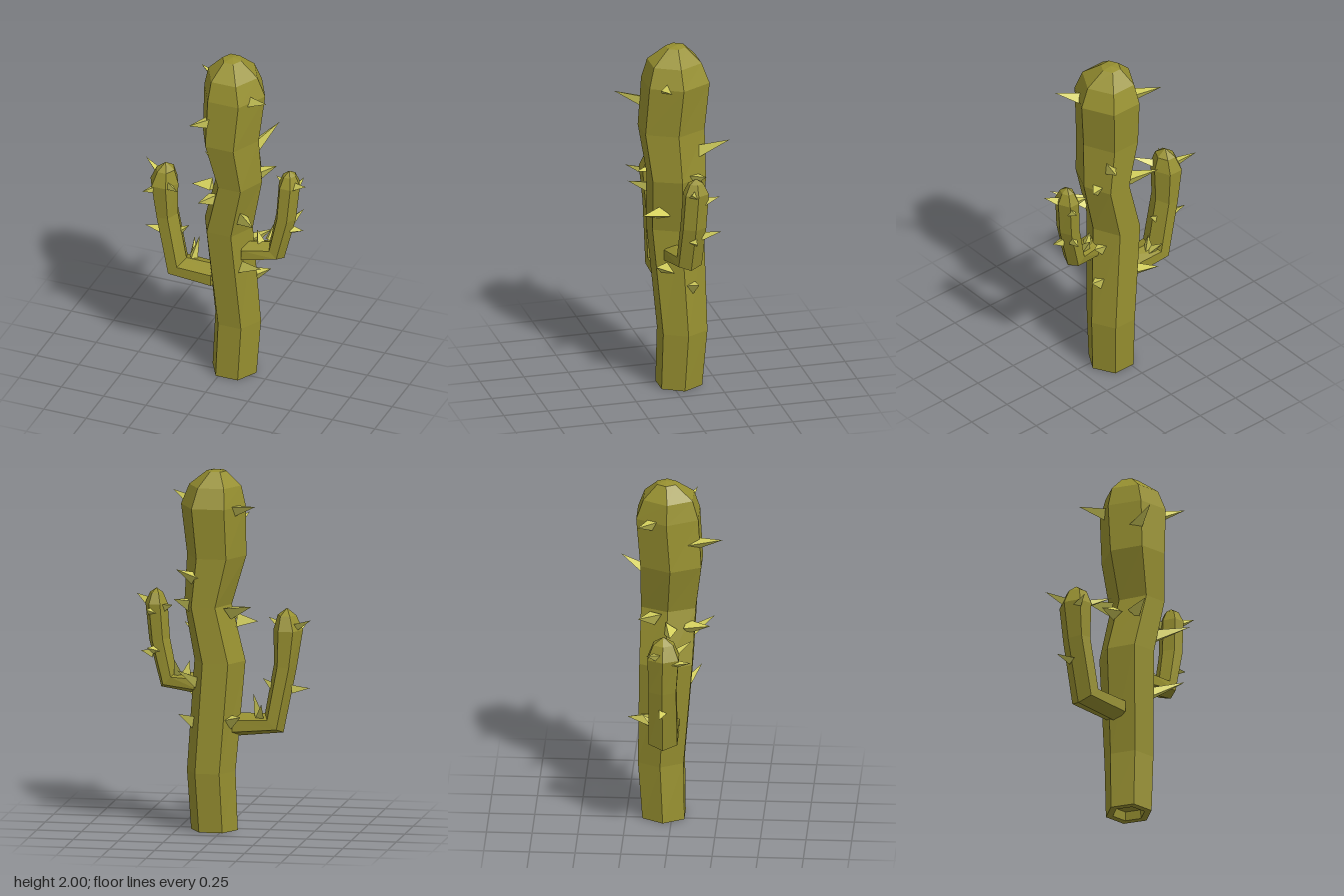
import * as THREE from 'three';

const flesh = new THREE.MeshStandardMaterial({ color: 0x979030, flatShading: true });
flesh.name = 'olive flesh';
const thorn = new THREE.MeshStandardMaterial({ color: 0xd6d25e, flatShading: true });
thorn.name = 'pale yellow spine';

// Hexagonal loft. Ring: [x, y, z, width radius, depth radius, heading in degrees (90 is up)]
function hexLoft(name, rings) {
  const rows = rings.map(([x, y, z, ru, rz, heading = 90]) => {
    const a = THREE.MathUtils.degToRad(heading);
    return Array.from({ length: 6 }, (_, i) => {
      const t = i * Math.PI / 3;
      const u = Math.cos(t) * ru;
      const v = Math.sin(t) / Math.sin(Math.PI / 3) * rz;
      return [x + Math.sin(a) * u, y - Math.cos(a) * u, z + v];
    });
  });
  const pos = [];
  for (let r = 0; r < rows.length - 1; r++) {
    for (let i = 0; i < 6; i++) {
      const j = (i + 1) % 6;
      const a = rows[r][i], b = rows[r][j], c = rows[r + 1][i], d = rows[r + 1][j];
      if (rings[r][3] > 0) pos.push(...a, ...c, ...b);
      if (rings[r + 1][3] > 0) pos.push(...b, ...c, ...d);
    }
  }
  const geo = new THREE.BufferGeometry();
  geo.setAttribute('position', new THREE.Float32BufferAttribute(pos, 3));
  geo.computeVertexNormals();
  const mesh = new THREE.Mesh(geo, flesh);
  mesh.name = name;
  return mesh;
}

// Three-sided spine running from near the limb axis out to its tip
function spine(tip, axis, depth, radius) {
  const end = new THREE.Vector3(...tip);
  const core = new THREE.Vector3(...axis);
  const dir = end.clone().sub(core).normalize();
  const base = core.addScaledVector(dir, depth);
  const length = base.distanceTo(end);
  const mesh = new THREE.Mesh(new THREE.ConeGeometry(radius, length, 3), thorn);
  mesh.position.copy(base).lerp(end, 0.5);
  mesh.quaternion.setFromUnitVectors(new THREE.Vector3(0, 1, 0), dir);
  mesh.name = 'spine';
  return mesh;
}

export function createModel() {
  const cactus = new THREE.Group();
  cactus.name = 'cactus';

  // Trunk with a recessed underside and a domed top
  cactus.add(hexLoft('trunk', [
    [0.05, 0.05, -0.045, 0, 0],
    [0.05, 0.05, -0.045, 0.085, 0.075],
    [0.05, 0, -0.045, 0.09, 0.08],
    [0.05, 0, -0.045, 0.13, 0.115],
    [0.065, 0.33, -0.06, 0.135, 0.125],
    [0.022, 0.94, -0.03, 0.142, 0.145],
    [0.09, 1.25, -0.02, 0.132, 0.15],
    [0.045, 1.52, -0.003, 0.165, 0.167],
    [0.06, 1.8, -0.023, 0.18, 0.17],
    [0.05, 1.91, -0.02, 0.145, 0.135],
    [0.04, 1.99, -0.03, 0.055, 0.05],
    [0.045, 2, -0.035, 0, 0],
  ]));

  // Low arm on the right side
  cactus.add(hexLoft('rightArm', [
    [-0.055, 0.585, -0.03, 0, 0, 180],
    [-0.055, 0.585, -0.03, 0.065, 0.075, 180],
    [-0.28, 0.6, -0.03, 0.073, 0.078, 135],
    [-0.342, 0.92, -0.03, 0.064, 0.075, 95],
    [-0.357, 1.12, -0.025, 0.082, 0.085],
    [-0.35, 1.2, -0.025, 0.052, 0.055],
    [-0.35, 1.24, -0.025, 0, 0],
  ]));

  // Higher, slimmer arm on the left side
  cactus.add(hexLoft('leftArm', [
    [0.13, 0.8, 0, 0, 0, 0],
    [0.13, 0.8, 0, 0.06, 0.06, 0],
    [0.305, 0.825, -0.035, 0.06, 0.065, 45],
    [0.355, 1.05, -0.045, 0.058, 0.065, 82],
    [0.37, 1.25, -0.055, 0.062, 0.065],
    [0.37, 1.31, -0.055, 0.036, 0.038],
    [0.37, 1.335, -0.055, 0, 0],
  ]));

  // Spines: tip followed by the point on the limb axis it grows from
  const trunkSpines = [
    [[-0.2, 1.82, -0.175], [0.05, 1.76, -0.03]],
    [[0.31, 1.85, 0.125], [0.06, 1.74, -0.01]],
    [[-0.085, 1.71, 0.285], [0.01, 1.62, 0]],
    [[0.215, 1.48, -0.29], [0.08, 1.35, -0.02]],
    [[-0.18, 1.265, -0.175], [0.05, 1.19, -0.03]],
    [[-0.185, 1.155, 0], [0.04, 1.17, -0.02]],
    [[-0.06, 1.18, 0.215], [0.02, 1.13, -0.02]],
    [[0.26, 1.29, -0.145], [0.08, 1.22, -0.03]],
    [[0.265, 1.1, 0.22], [0.06, 1.02, -0.02]],
    [[0.29, 0.8, 0.15], [0.03, 0.66, -0.03]],
    [[0.24, 0.89, -0.13], [0.03, 0.76, -0.03]],
    [[0.24, 0.645, -0.11], [0.05, 0.56, -0.05]],
    [[-0.13, 0.66, -0.235], [0.03, 0.58, -0.04]],
  ];
  const armSpines = [
    [[-0.5, 1.19, -0.11], [-0.355, 1.12, -0.03]],
    [[-0.22, 1.16, 0.12], [-0.355, 1.11, -0.02]],
    [[-0.425, 1.12, 0.13], [-0.37, 1.08, -0.02]],
    [[-0.48, 0.8, -0.04], [-0.33, 0.79, -0.03]],
    [[-0.22, 0.85, -0.05], [-0.32, 0.77, -0.03]],
    [[-0.175, 0.77, -0.09], [-0.21, 0.6, -0.04]],
    [[-0.23, 0.72, -0.15], [-0.2, 0.6, -0.04]],
    [[0.49, 1.29, 0], [0.37, 1.23, -0.05]],
    [[0.405, 1.23, -0.18], [0.37, 1.19, -0.055]],
    [[0.27, 1.25, -0.11], [0.37, 1.22, -0.055]],
    [[0.46, 0.98, -0.04], [0.34, 0.96, -0.04]],
    [[0.4, 1.02, -0.19], [0.345, 0.98, -0.045]],
    [[0.26, 0.95, -0.12], [0.24, 0.82, -0.03]],
    [[0.19, 0.93, -0.03], [0.22, 0.81, -0.02]],
  ];
  const spines = new THREE.Group();
  spines.name = 'spines';
  for (const [tip, axis] of trunkSpines) spines.add(spine(tip, axis, 0.11, 0.045));
  for (const [tip, axis] of armSpines) spines.add(spine(tip, axis, 0.05, 0.028));
  cactus.add(spines);

  return cactus;
}
